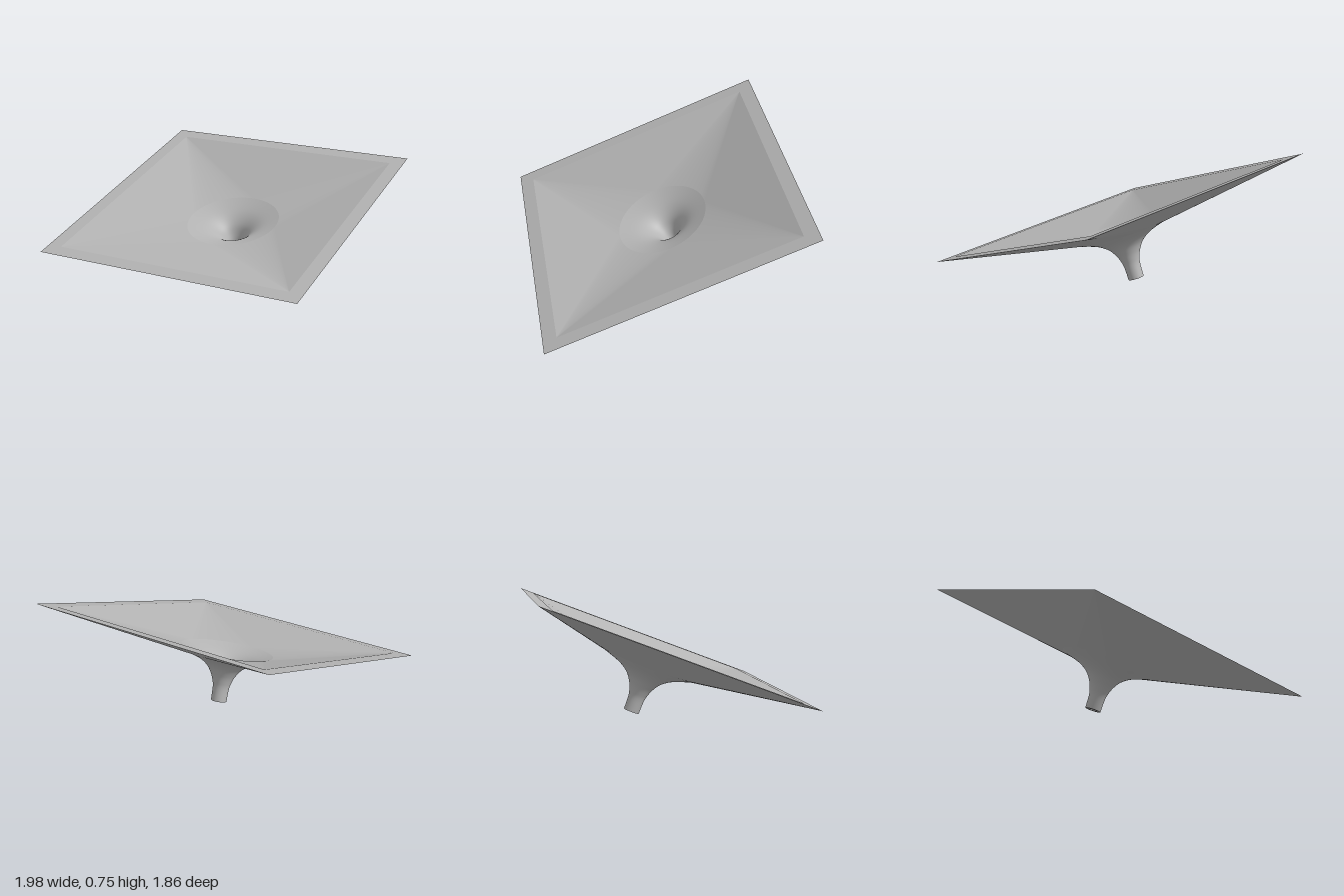
import * as THREE from 'three';

const SEG = 96; // segments around the spout, divisible by 4

// Skirt between a circle (radius r at height y) and a square (half side h at height 0):
// a cone fan at each corner and a flat triangle on each side.
function skirt(r, y, h, faceUp) {
  const pos = [];
  const ring = (a) => [r * Math.sin(a), y, r * Math.cos(a)];
  const corner = (k) => {
    const a = Math.PI / 4 + (k * Math.PI) / 2;
    return [h * Math.SQRT2 * Math.sin(a), 0, h * Math.SQRT2 * Math.cos(a)];
  };
  const tri = (a, b, c) => pos.push(...a, ...(faceUp ? b : c), ...(faceUp ? c : b));
  const step = (2 * Math.PI) / SEG;
  for (let k = 0; k < 4; k++) {
    const start = (k * Math.PI) / 2;
    for (let i = 0; i < SEG / 4; i++) {
      tri(ring(start + i * step), corner(k), ring(start + (i + 1) * step));
    }
    tri(ring(start + Math.PI / 2), corner(k), corner(k + 1));
  }
  const g = new THREE.BufferGeometry();
  g.setAttribute('position', new THREE.Float32BufferAttribute(pos, 3));
  g.computeVertexNormals();
  return g;
}

// Smooth profile through a few [radius, height] points, listed bottom to top
function profile(points) {
  return new THREE.SplineCurve(points.map((p) => new THREE.Vector2(...p))).getPoints(40);
}

function squarePath(path, h) {
  path.moveTo(-h, -h);
  path.lineTo(h, -h);
  path.lineTo(h, h);
  path.lineTo(-h, h);
  path.closePath();
  return path;
}

export function createModel() {
  const grey = new THREE.MeshStandardMaterial({ color: 0xb4b4b4 });
  grey.name = 'grey';
  const group = new THREE.Group();
  group.name = 'squareFunnel';
  const funnel = new THREE.Group();
  funnel.name = 'tiltedFunnel';
  group.add(funnel);
  const add = (name, geometry) => {
    const mesh = new THREE.Mesh(geometry, grey);
    mesh.name = name;
    funnel.add(mesh);
  };

  const half = 0.778; // outer half side
  const halfIn = 0.697; // inner half side of the flat rim
  const bottom = -0.413;

  // Flared spout, outside and inside
  const outer = profile([[0.045, bottom], [0.047, -0.34], [0.055, -0.3],
    [0.073, -0.256], [0.107, -0.21], [0.168, -0.17], [0.27, -0.134]]);
  const inner = profile([[0.025, bottom], [0.027, -0.335], [0.035, -0.293],
    [0.056, -0.245], [0.094, -0.194], [0.16, -0.151], [0.265, -0.113]]);
  add('spoutOutside', new THREE.LatheGeometry(outer, SEG));
  add('spoutInside', new THREE.LatheGeometry([...inner].reverse(), SEG));
  add('spoutEnd', new THREE.LatheGeometry([inner[0], outer[0]], SEG));

  // Round-to-square skirts
  add('skirtUnderside', skirt(0.27, -0.134, half, false));
  add('skirtInside', skirt(0.265, -0.113, halfIn, true));

  // Flat square rim
  const rim = squarePath(new THREE.Shape(), half);
  rim.holes.push(squarePath(new THREE.Path(), halfIn));
  add('rim', new THREE.ShapeGeometry(rim).rotateX(-Math.PI / 2));

  // Tilt: local x along one side, local z along the other
  const u = new THREE.Vector3(1.46, -0.115, 0.51).normalize();
  const n = new THREE.Vector3(-0.52, -0.58, 1.35).cross(u).normalize();
  const v = new THREE.Vector3().crossVectors(u, n);
  funnel.quaternion.setFromRotationMatrix(new THREE.Matrix4().makeBasis(u, n, v));
  funnel.position.y = 0.403;
  return group;
}
